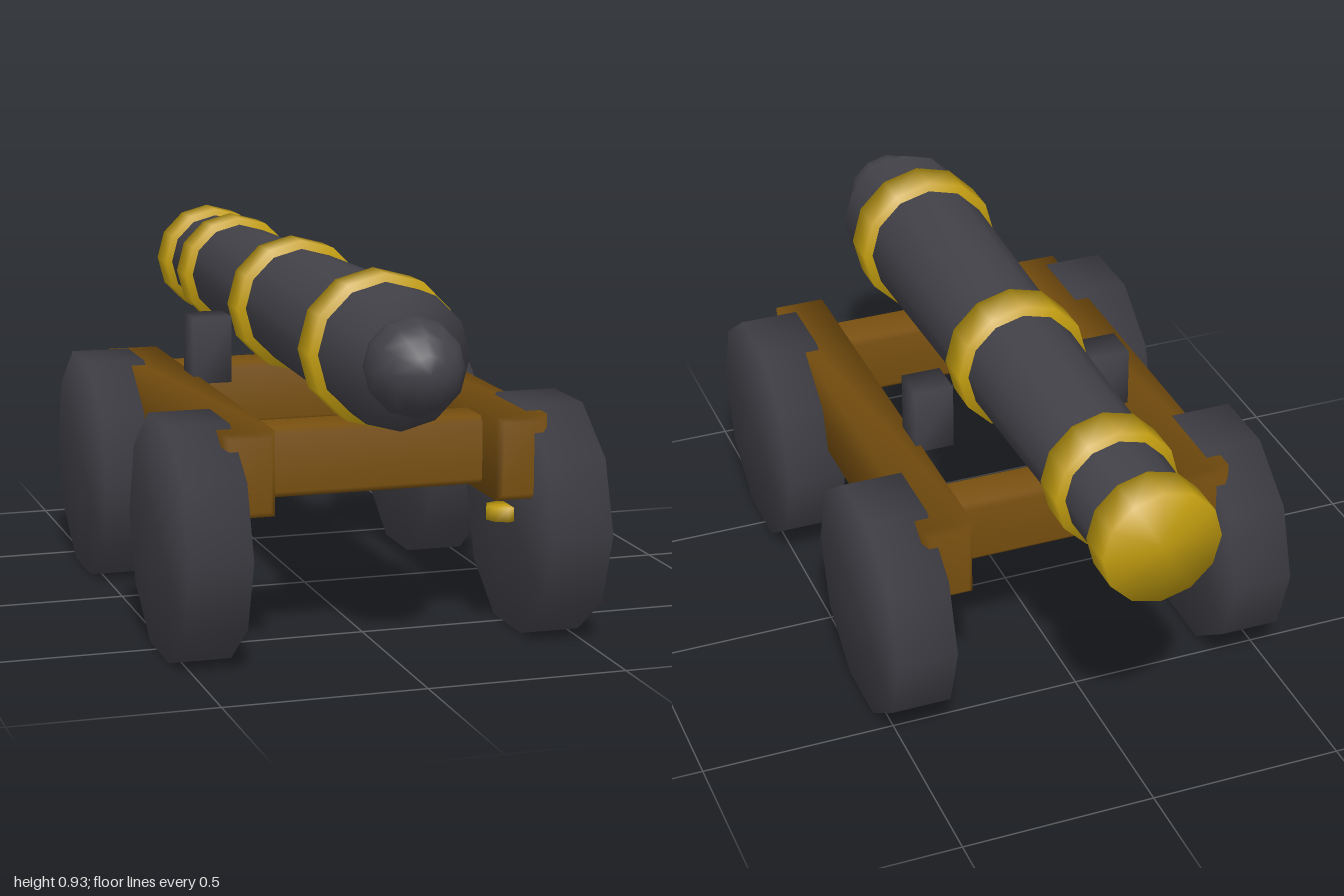
import * as THREE from 'three';
import { mergeVertices } from 'three/addons/utils/BufferGeometryUtils.js';

const material = (name, color) => {
  const m = new THREE.MeshStandardMaterial({ color });
  m.name = name;
  return m;
};

// Share corner vertices so that shading rolls softly over every edge
function soften(geometry) {
  geometry.deleteAttribute('normal');
  geometry.deleteAttribute('uv');
  const g = mergeVertices(geometry, 1e-4);
  g.computeVertexNormals();
  return g;
}

// Box with chamfered edges, centred on the origin
function chamferBox(w, h, d, c) {
  const x = w / 2 - c, y = h / 2 - c;
  const shape = new THREE.Shape([[-x, -y], [x, -y], [x, y], [-x, y]].map(p => new THREE.Vector2(...p)));
  const g = new THREE.ExtrudeGeometry(shape, {
    depth: d - 2 * c, bevelEnabled: true, bevelSegments: 1, bevelSize: c, bevelThickness: c,
  });
  return soften(g.translate(0, 0, c - d / 2));
}

// Cylinder along z; rBack is the radius at the -z end
function drum(rFront, rBack, length) {
  return soften(new THREE.CylinderGeometry(rFront, rBack, length, 12).rotateX(Math.PI / 2));
}

export function createModel() {
  const iron = material('dark iron', 0x434249);
  const brass = material('brass', 0xc29d10);
  const wood = material('brown wood', 0x79500f);
  const group = new THREE.Group();
  const add = (name, geometry, mat, x, y, z) => {
    const mesh = new THREE.Mesh(geometry, mat);
    mesh.name = name;
    mesh.position.set(x, y, z);
    group.add(mesh);
  };

  // Barrel and the knob behind it
  const axisY = 0.743;
  add('barrel', drum(0.172, 0.13, 1.74), iron, 0, axisY, -0.08);
  add('knob', soften(new THREE.SphereGeometry(0.12, 12, 8).rotateX(Math.PI / 2)), iron, 0, axisY, 0.88);

  // Brass bands, the last one closing the muzzle
  for (const [name, r, z] of [
    ['breechBand', 0.19, 0.62], ['middleBand', 0.175, -0.077],
    ['neckBand', 0.158, -0.687], ['muzzleBand', 0.15, -0.95],
  ]) add(name, drum(r, r, 0.1), brass, 0, axisY, z);

  // Carriage: side beams and supports
  const beam = chamferBox(0.132, 0.21, 1.21, 0.015);
  const support = soften(new THREE.BoxGeometry(0.103, 0.175, 0.1));
  const wheel = soften(new THREE.CylinderGeometry(0.305, 0.305, 0.155, 10).rotateZ(Math.PI / 2));
  const pin = soften(new THREE.CylinderGeometry(0.045, 0.045, 0.035, 8));
  const crossbar = chamferBox(0.6, 0.172, 0.13, 0.015);
  for (const [side, s] of [['left', 1], ['right', -1]]) {
    add(side + 'Beam', beam, wood, s * 0.347, 0.465, 0.095);
    add(side + 'Support', support, iron, s * 0.243, 0.638, -0.077);
  }

  // Crossbars, wheels and axle pins
  for (const [end, z, barZ] of [['front', 0.532, 0.525], ['back', -0.338, -0.343]]) {
    add(end + 'Crossbar', crossbar, wood, 0, 0.466, barZ);
    for (const [side, s] of [['Left', 1], ['Right', -1]]) {
      add(end + side + 'Wheel', wheel, iron, s * 0.4525, 0.29, z);
      add(end + side + 'AxlePin', pin, brass, s * 0.36, 0.292, z);
    }
  }
  return group;
}
